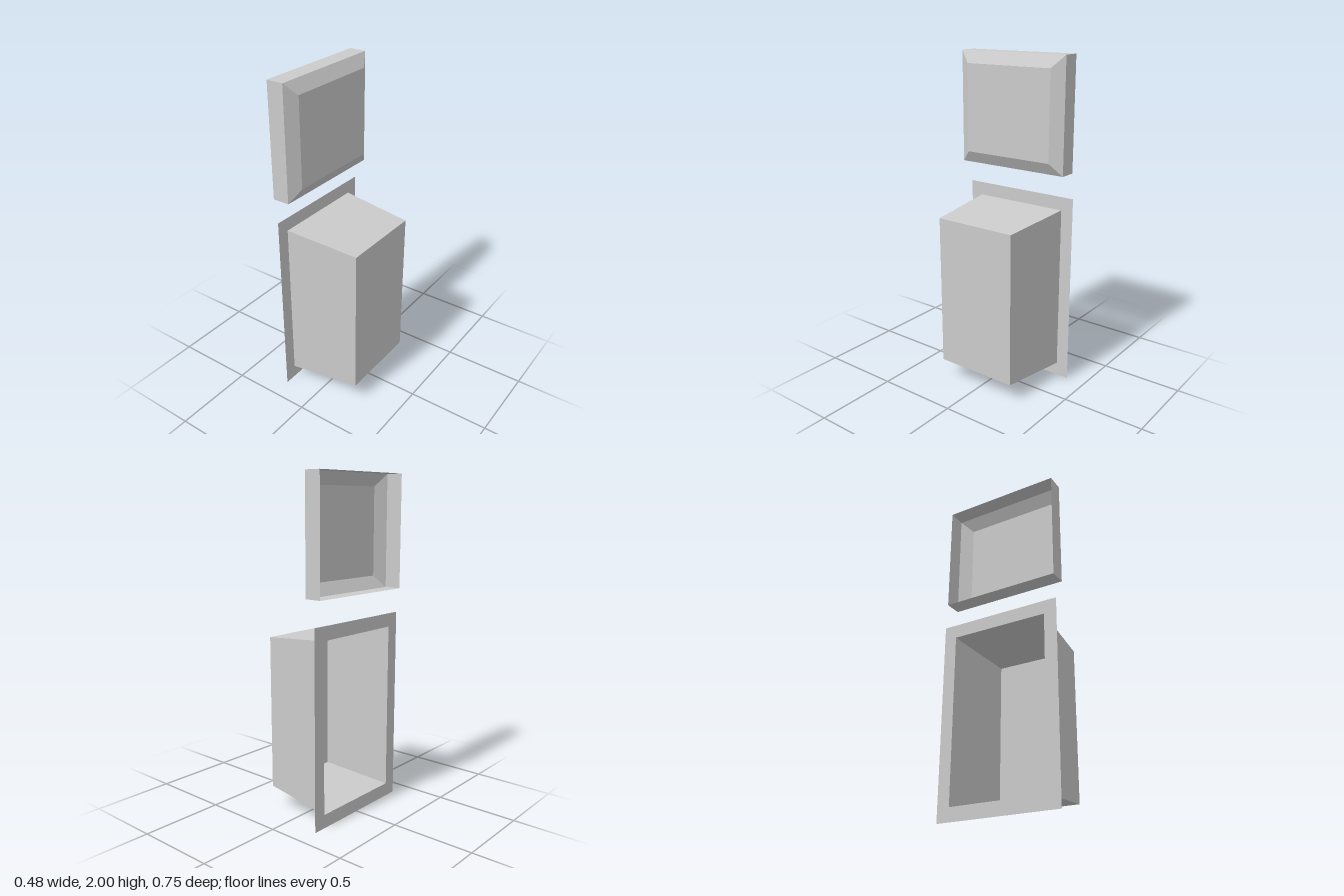
import * as THREE from 'three';

const material = new THREE.MeshStandardMaterial({
  color: 0xcccccc, flatShading: true, side: THREE.DoubleSide,
});

// Skin through rectangular sections [x, y0, y1, z0, z1] running towards +x
function loft(name, sections, closeEnd) {
  const pos = [], index = [];
  for (const [x, y0, y1, z0, z1] of sections) {
    pos.push(x, y0, z0, x, y1, z0, x, y1, z1, x, y0, z1);
  }
  for (let s = 0; s < sections.length - 1; s++) {
    for (let i = 0; i < 4; i++) {
      const a = s * 4 + i, b = s * 4 + (i + 1) % 4;
      index.push(a, b, b + 4, a, b + 4, a + 4);
    }
  }
  if (closeEnd) {
    const e = (sections.length - 1) * 4;
    index.push(e, e + 1, e + 2, e, e + 2, e + 3);
  }
  const indexed = new THREE.BufferGeometry();
  indexed.setAttribute('position', new THREE.Float32BufferAttribute(pos, 3));
  indexed.setIndex(index);
  const geometry = indexed.toNonIndexed();
  geometry.computeVertexNormals();
  const mesh = new THREE.Mesh(geometry, material);
  mesh.name = name;
  return mesh;
}

export function createModel() {
  const model = new THREE.Group();
  model.name = 'recessedBoxWithCover';

  // Bevelled cover, open at the back
  model.add(loft('cover', [
    [-0.238, 1.324, 2, -0.354, 0.376],
    [-0.135, 1.324, 2, -0.354, 0.376],
    [-0.093, 1.397, 1.927, -0.281, 0.303],
  ], true));

  // Tapered box, open through the flange
  const box = new THREE.Group();
  box.name = 'box';
  const mouth = [-0.217, 0.082, 1.096, -0.299, 0.299];
  box.add(loft('boxBody', [mouth, [0.237, 0.122, 1.056, -0.26, 0.26]], true));

  // Flat flange around the mouth
  box.add(loft('flange', [[-0.217, 0, 1.178, -0.377, 0.377], mouth], false));
  model.add(box);

  return model;
}
